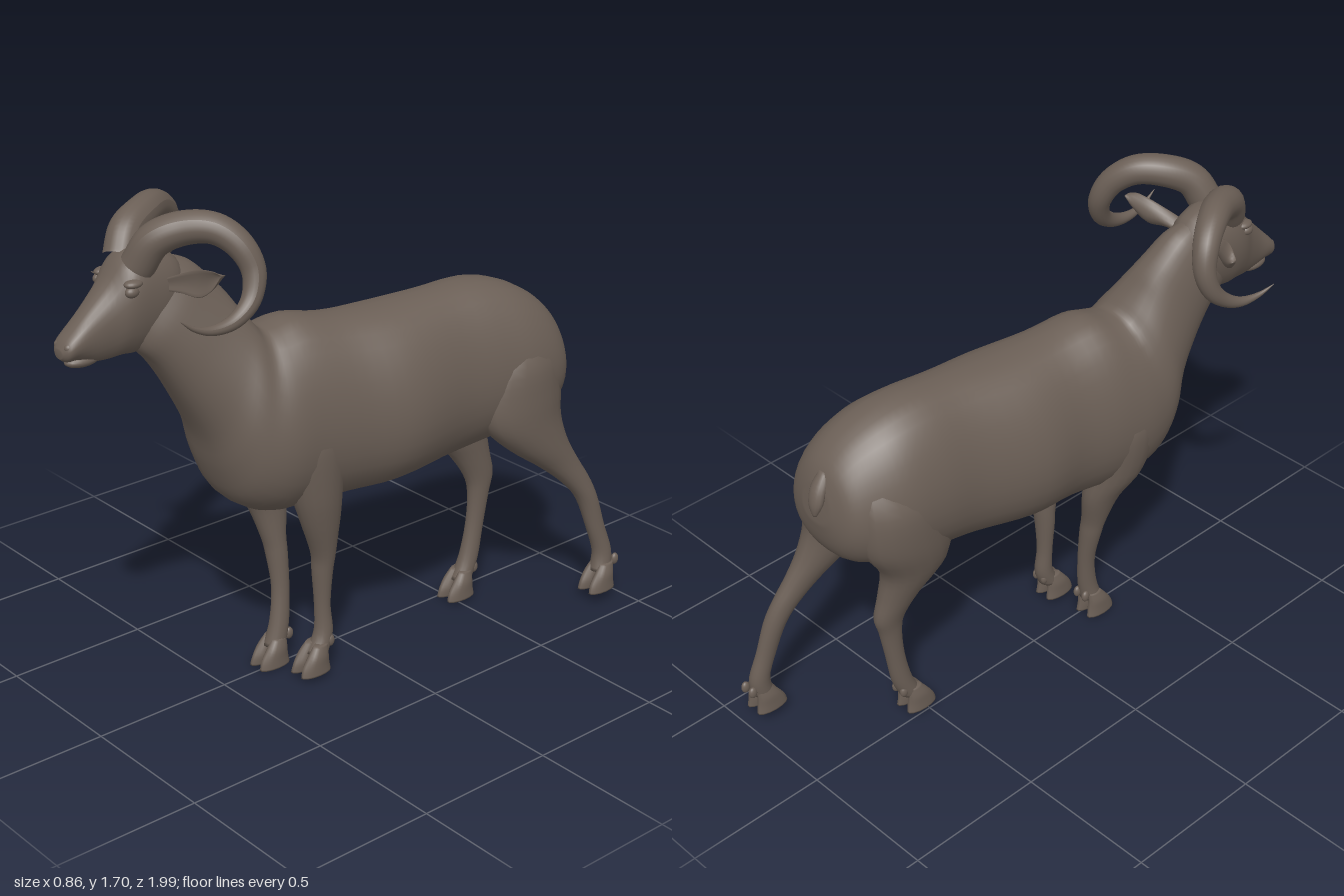
import * as THREE from 'three';

const coat = new THREE.MeshStandardMaterial({ color: 0x6b5f56 });
coat.name = 'brown grey coat';

function add(parent, name, geometry) {
  const mesh = new THREE.Mesh(geometry, coat);
  mesh.name = name;
  parent.add(mesh);
  return mesh;
}

// Smooth interpolation through a list of number rows
function sampleRows(rows, t) {
  const f = t * (rows.length - 1);
  const i = Math.min(Math.floor(f), rows.length - 2);
  const u = f - i;
  const row = k => rows[Math.max(0, Math.min(rows.length - 1, k))];
  return rows[0].map((_, c) => {
    const [a, b, d, e] = [row(i - 1)[c], row(i)[c], row(i + 1)[c], row(i + 2)[c]];
    return b + 0.5 * u * (d - a + u * (2 * a - 5 * b + 4 * d - e + u * (3 * (b - d) + e - a)));
  });
}

// Closed skin over cross-sections; ring(row, cos, sin) gives one point
function loft(rows, ring, sides = 24, perRow = 4) {
  const steps = (rows.length - 1) * perRow;
  const pos = [], index = [];
  for (let j = 0; j <= steps; j++) {
    const row = sampleRows(rows, j / steps);
    for (let k = 0; k < sides; k++) {
      const a = (k / sides) * Math.PI * 2;
      pos.push(...ring(row, Math.cos(a), Math.sin(a)));
    }
  }
  for (const j of [0, steps]) {
    const c = [0, 0, 0];
    for (let k = 0; k < sides * 3; k++) c[k % 3] += pos[j * sides * 3 + k] / sides;
    pos.push(...c);
  }
  const first = (steps + 1) * sides;
  for (let k = 0; k < sides; k++) {
    const n = (k + 1) % sides;
    for (let j = 0; j < steps; j++) {
      const a = j * sides + k, b = j * sides + n;
      index.push(a, b, a + sides, b, b + sides, a + sides);
    }
    index.push(first, n, k, first + 1, steps * sides + k, steps * sides + n);
  }
  // Turn the skin outwards using its signed volume
  const p = i => new THREE.Vector3().fromArray(pos, i * 3);
  let volume = 0;
  for (let i = 0; i < index.length; i += 3) {
    volume += p(index[i]).dot(p(index[i + 1]).cross(p(index[i + 2])));
  }
  if (volume < 0) index.reverse();
  const g = new THREE.BufferGeometry();
  g.setAttribute('position', new THREE.Float32BufferAttribute(pos, 3));
  g.setIndex(index);
  g.computeVertexNormals();
  return g;
}

// Upright section: [x, topZ, topY, bottomZ, bottomY, halfWidth]
const trunkRing = skew => ([x, tz, ty, bz, by, w], c, s) => [
  x + w * Math.sign(c) * Math.abs(c) ** 0.85 * (1 - skew * s),
  (ty + by) / 2 + s * (ty - by) / 2,
  (tz + bz) / 2 + s * (tz - bz) / 2,
];
// Level section: [x, y, z, halfWidth, halfDepth]
const limbRing = ([x, y, z, rx, rz], c, s) => [x + rx * c, y, z + rz * s];

function blob(parent, name, x, y, z, rx, ry, rz) {
  const m = add(parent, name, new THREE.SphereGeometry(1, 20, 14).scale(rx, ry, rz));
  m.position.set(x, y, z);
  return m;
}

// Leg with two-toed hoof and dewclaws
function addLeg(parent, name, rows, [fx, fy, fz]) {
  const leg = new THREE.Group();
  leg.name = name;
  parent.add(leg);
  add(leg, 'limb', loft(rows, limbRing, 18));
  for (const side of [-1, 1]) {
    const x = fx + side * 0.025;
    add(leg, 'toe', loft([
      [x - side * 0.004, fy + 0.1, fz - 0.022, 0.016, 0.028],
      [x, fy + 0.065, fz - 0.008, 0.023, 0.042],
      [x, fy + 0.03, fz + 0.002, 0.025, 0.055],
      [x + side * 0.002, fy, fz + 0.004, 0.024, 0.062],
    ], limbRing, 14));
    blob(leg, 'dewclaw', fx + side * 0.02, fy + 0.1, fz - 0.065, 0.012, 0.022, 0.016);
  }
}

// Curled horn: a tube narrowed towards the tip
function addHorn(parent, name, points) {
  const path = new THREE.CatmullRomCurve3(points.map(q => new THREE.Vector3(...q)));
  const steps = 64, sides = 18;
  const g = new THREE.TubeGeometry(path, steps, 1, sides);
  const pos = g.attributes.position, v = new THREE.Vector3();
  for (let j = 0; j <= steps; j++) {
    const t = j / steps, centre = path.getPointAt(t);
    const r = 0.001 + 0.056 * (1 - t ** 1.9);
    for (let k = 0; k <= sides; k++) {
      const i = j * (sides + 1) + k;
      v.fromBufferAttribute(pos, i).sub(centre).multiplyScalar(r).add(centre);
      pos.setXYZ(i, v.x, v.y, v.z);
    }
  }
  g.computeVertexNormals();
  add(parent, name, g);
}

export function createModel() {
  const ram = new THREE.Group();
  ram.name = 'ram';

  // Rump, barrel, chest and neck in one skin
  add(ram, 'body', loft([
    [0.15, -0.80, 1.03, -0.815, 0.90, 0.06],
    [0.15, -0.77, 1.10, -0.795, 0.80, 0.14],
    [0.145, -0.70, 1.17, -0.74, 0.73, 0.185],
    [0.125, -0.60, 1.225, -0.62, 0.69, 0.215],
    [0.105, -0.48, 1.25, -0.47, 0.67, 0.215],
    [0.09, -0.32, 1.245, -0.32, 0.65, 0.212],
    [0.065, -0.10, 1.237, -0.10, 0.625, 0.245],
    [0.04, 0.08, 1.243, 0.07, 0.62, 0.22],
    [0.01, 0.22, 1.265, 0.22, 0.615, 0.22],
    [-0.005, 0.30, 1.25, 0.36, 0.62, 0.22],
    [-0.02, 0.34, 1.25, 0.465, 0.68, 0.205],
    [-0.035, 0.37, 1.285, 0.515, 0.79, 0.19],
    [-0.05, 0.40, 1.33, 0.55, 0.92, 0.16],
    [-0.068, 0.43, 1.38, 0.625, 1.07, 0.132],
    [-0.085, 0.47, 1.43, 0.69, 1.18, 0.115],
    [-0.10, 0.53, 1.49, 0.74, 1.24, 0.10],
    [-0.11, 0.60, 1.52, 0.76, 1.28, 0.08],
  ], trunkRing(0.12), 32));

  const head = new THREE.Group();
  head.name = 'head';
  ram.add(head);
  add(head, 'skull', loft([
    [-0.11, 0.55, 1.46, 0.60, 1.32, 0.05],
    [-0.115, 0.60, 1.53, 0.66, 1.25, 0.088],
    [-0.12, 0.70, 1.565, 0.74, 1.23, 0.1],
    [-0.122, 0.77, 1.55, 0.79, 1.232, 0.096],
    [-0.125, 0.83, 1.475, 0.84, 1.228, 0.074],
    [-0.127, 0.90, 1.405, 0.89, 1.232, 0.058],
    [-0.13, 0.955, 1.35, 0.945, 1.25, 0.052],
    [-0.13, 0.985, 1.32, 0.98, 1.252, 0.044],
    [-0.13, 1.0, 1.295, 0.998, 1.265, 0.02],
  ], trunkRing(-0.12), 24));
  blob(head, 'lowerLip', -0.13, 1.243, 0.915, 0.036, 0.022, 0.062);
  for (const side of [-1, 1]) {
    blob(head, 'eye', -0.122 + side * 0.086, 1.455, 0.785, 0.018, 0.018, 0.024);
    blob(head, 'brow', -0.122 + side * 0.08, 1.478, 0.775, 0.024, 0.014, 0.032);
    blob(head, 'nostril', -0.13 + side * 0.026, 1.302, 0.975, 0.016, 0.016, 0.018);
  }

  // Leaf-shaped ears: [x, y, z, halfHeight, halfThickness]
  const earRing = ([x, y, z, h, d], c, s) => [x, y + h * s, z + d * c - 0.018 * (1 - s * s)];
  add(head, 'leftEar', loft([
    [-0.04, 1.45, 0.66, 0.02, 0.02], [0.02, 1.465, 0.64, 0.032, 0.016],
    [0.08, 1.475, 0.62, 0.045, 0.012], [0.13, 1.495, 0.61, 0.032, 0.009],
    [0.16, 1.515, 0.60, 0.004, 0.003],
  ], earRing, 16));
  add(head, 'rightEar', loft([
    [-0.19, 1.45, 0.66, 0.02, 0.02], [-0.235, 1.455, 0.64, 0.032, 0.016],
    [-0.28, 1.46, 0.61, 0.045, 0.012], [-0.315, 1.468, 0.59, 0.032, 0.009],
    [-0.34, 1.475, 0.58, 0.004, 0.003],
  ], earRing, 16));

  addHorn(head, 'leftHorn', [
    [-0.075, 1.52, 0.735], [-0.03, 1.605, 0.70], [0.03, 1.643, 0.63], [0.1, 1.643, 0.565],
    [0.16, 1.595, 0.52], [0.197, 1.52, 0.50], [0.218, 1.44, 0.53], [0.224, 1.39, 0.60],
    [0.222, 1.38, 0.68], [0.22, 1.40, 0.745], [0.22, 1.435, 0.795],
  ]);
  addHorn(head, 'rightHorn', [
    [-0.165, 1.52, 0.735], [-0.195, 1.59, 0.69], [-0.235, 1.622, 0.60], [-0.28, 1.62, 0.52],
    [-0.317, 1.575, 0.455], [-0.34, 1.50, 0.428], [-0.358, 1.43, 0.445], [-0.373, 1.38, 0.495],
    [-0.39, 1.355, 0.555], [-0.41, 1.362, 0.62], [-0.43, 1.39, 0.67],
  ]);

  addLeg(ram, 'frontRightLeg', [
    [-0.11, 1.0, 0.28, 0.06, 0.07], [-0.125, 0.88, 0.30, 0.1, 0.12],
    [-0.11, 0.70, 0.29, 0.09, 0.105], [-0.08, 0.58, 0.25, 0.062, 0.075],
    [-0.055, 0.46, 0.24, 0.045, 0.045], [-0.043, 0.39, 0.235, 0.04, 0.038],
    [-0.025, 0.27, 0.235, 0.03, 0.032], [-0.015, 0.15, 0.25, 0.032, 0.036],
    [-0.016, 0.07, 0.27, 0.038, 0.04],
  ], [-0.017, 0, 0.287]);
  addLeg(ram, 'frontLeftLeg', [
    [0.13, 1.0, 0.22, 0.06, 0.08], [0.145, 0.88, 0.22, 0.085, 0.12],
    [0.145, 0.70, 0.215, 0.077, 0.095], [0.145, 0.58, 0.20, 0.06, 0.073],
    [0.135, 0.45, 0.18, 0.045, 0.043], [0.13, 0.37, 0.18, 0.038, 0.035],
    [0.13, 0.25, 0.18, 0.029, 0.028], [0.135, 0.15, 0.18, 0.032, 0.034],
    [0.138, 0.085, 0.21, 0.038, 0.04],
  ], [0.14, 0.02, 0.235]);
  addLeg(ram, 'backRightLeg', [
    [0.03, 1.06, -0.62, 0.06, 0.1], [0.0, 0.95, -0.60, 0.095, 0.15],
    [0.0, 0.80, -0.57, 0.1, 0.17], [0.01, 0.67, -0.535, 0.085, 0.13],
    [0.03, 0.56, -0.58, 0.06, 0.085], [0.045, 0.465, -0.617, 0.042, 0.062],
    [0.05, 0.39, -0.615, 0.034, 0.043], [0.05, 0.27, -0.60, 0.03, 0.035],
    [0.05, 0.15, -0.575, 0.033, 0.038], [0.05, 0.075, -0.54, 0.038, 0.04],
  ], [0.05, 0.01, -0.52]);
  addLeg(ram, 'backLeftLeg', [
    [0.23, 1.08, -0.62, 0.06, 0.1], [0.25, 0.97, -0.60, 0.095, 0.16],
    [0.26, 0.85, -0.59, 0.098, 0.18], [0.275, 0.75, -0.60, 0.085, 0.165],
    [0.29, 0.65, -0.665, 0.07, 0.125], [0.308, 0.56, -0.75, 0.05, 0.085],
    [0.325, 0.48, -0.82, 0.04, 0.06], [0.34, 0.40, -0.868, 0.036, 0.043],
    [0.355, 0.28, -0.905, 0.03, 0.038], [0.365, 0.18, -0.935, 0.033, 0.038],
    [0.372, 0.11, -0.925, 0.038, 0.04],
  ], [0.375, 0.04, -0.91]);

  // Short hanging tail
  add(ram, 'tail', loft([
    [0.14, 1.08, -0.765, 0.02, 0.02], [0.137, 1.03, -0.80, 0.03, 0.024],
    [0.132, 0.98, -0.82, 0.028, 0.02], [0.128, 0.94, -0.83, 0.008, 0.007],
  ], limbRing, 14));

  return ram;
}
